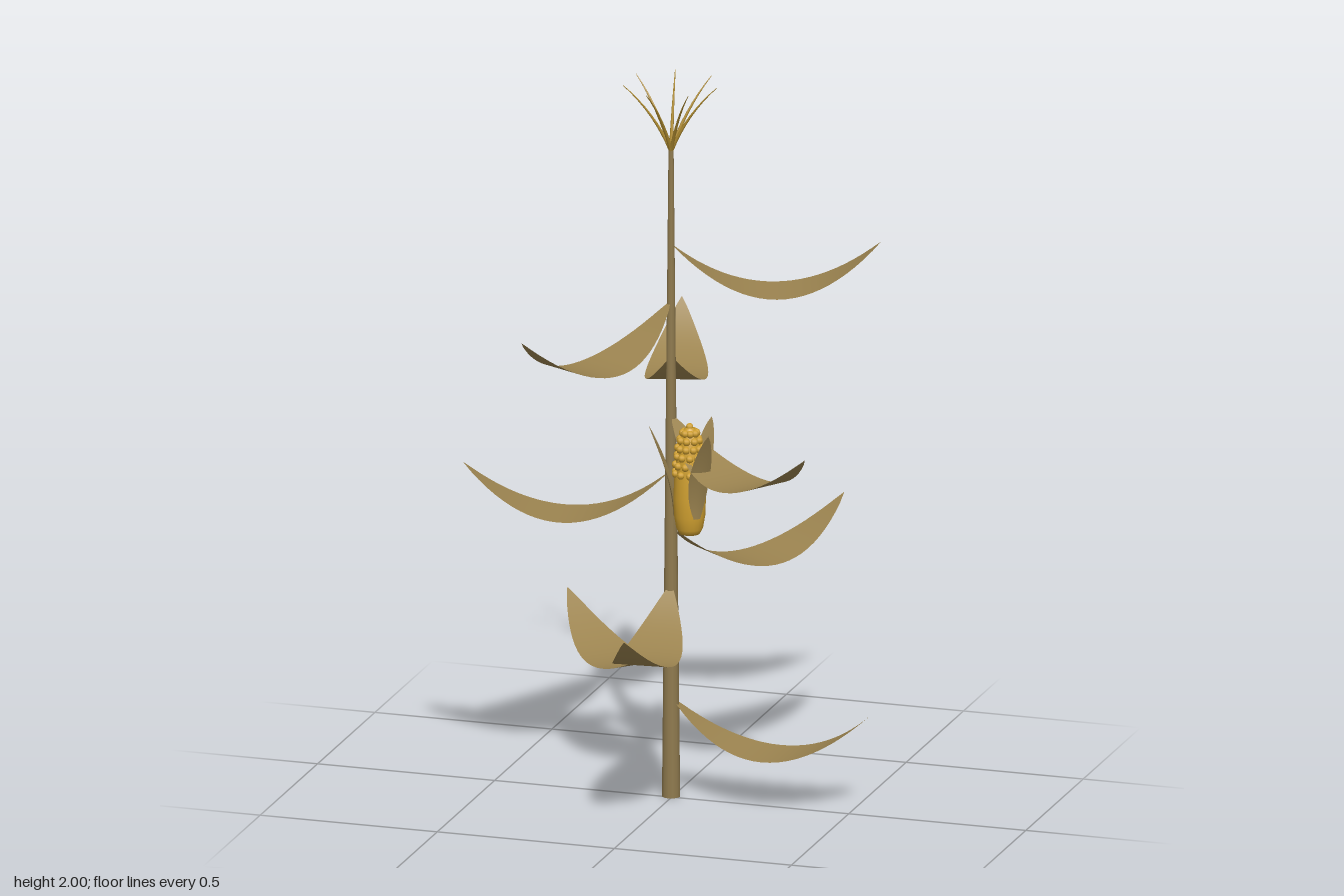
import * as THREE from 'three';

const material = (name, color) => {
  const m = new THREE.MeshStandardMaterial({ color, side: THREE.DoubleSide });
  m.name = name;
  return m;
};

// Thin blade: place(t, s) gives a point for t along the blade, s from -1 to 1 across it
function blade(place, along, across) {
  const geo = new THREE.PlaneGeometry(1, 1, along, across).rotateX(-Math.PI / 2);
  const p = geo.attributes.position;
  for (let i = 0; i < p.count; i++) p.setXYZ(i, ...place(p.getX(i) + 0.5, p.getZ(i) * 2));
  geo.computeVertexNormals();
  return geo;
}

export function createModel() {
  const stalkMat = material('dry stalk', 0x8f7a4e);
  const leafMat = material('dry leaf', 0x9c8450);
  const kernelMat = material('golden kernel', 0xd0a030);
  const tasselMat = material('tassel', 0xb08c30);

  const plant = new THREE.Group();
  plant.name = 'cornPlant';
  const add = (parent, name, geo, mat) => {
    const mesh = new THREE.Mesh(geo, mat);
    mesh.name = name;
    parent.add(mesh);
    return mesh;
  };

  // Tapered stalk
  const shoot = new THREE.Group();
  shoot.name = 'shoot';
  shoot.position.set(-0.005, 0, -0.01);
  plant.add(shoot);
  add(shoot, 'stalk', new THREE.CylinderGeometry(0.007, 0.025, 1.83, 12), stalkMat).position.y = 0.915;

  // Sagging leaves, spiralling up by the golden angle
  const leafGeo = blade((t, s) => [
    0.565 * t,
    -0.54 * t * (1 - t),
    s * 0.085 * Math.pow(Math.max(0, Math.sin(Math.PI * t)), 0.85),
  ], 24, 4);
  for (let i = 0; i < 9; i++) {
    const leaf = add(shoot, 'leaf', leafGeo, leafMat);
    leaf.position.y = 0.28 + i * 0.1588;
    leaf.rotation.y = i * THREE.MathUtils.degToRad(137.5);
  }

  // Tassel: seven fine, slightly arched rays
  const rayCurve = new THREE.QuadraticBezierCurve3(
    new THREE.Vector3(0, 1.81, 0), new THREE.Vector3(0.045, 1.92, 0), new THREE.Vector3(0.13, 2, 0));
  const rayGeo = new THREE.TubeGeometry(rayCurve, 8, 0.006, 6);
  const rp = rayGeo.attributes.position;
  for (let i = 0; i < rp.count; i++) {
    const t = Math.floor(i / 7) / 8;
    const c = rayCurve.getPointAt(t);
    const v = new THREE.Vector3().fromBufferAttribute(rp, i).lerp(c, t * 0.85);
    rp.setXYZ(i, v.x, Math.min(v.y, 2), v.z);
  }
  for (let i = 0; i < 7; i++) {
    add(shoot, 'tasselRay', rayGeo, tasselMat).rotation.y = (i * 2 * Math.PI) / 7;
  }

  // Ear of corn beside the stalk
  const ear = new THREE.Group();
  ear.name = 'ear';
  ear.position.set(0.075, 0, 0.075);
  plant.add(ear);
  const profile = [[0, 0.768], [0.028, 0.77], [0.036, 0.785], [0.042, 0.82], [0.044, 0.87], [0.041, 0.93],
    [0.036, 0.98], [0.028, 1.03], [0.016, 1.062], [0, 1.072]];
  add(ear, 'cob', new THREE.LatheGeometry(profile.map(([r, y]) => new THREE.Vector2(r, y)), 20), kernelMat);

  // Kernels in staggered rings
  const kernelGeo = new THREE.SphereGeometry(0.0105, 8, 6);
  [[0.04, 0.94], [0.038, 0.963], [0.035, 0.987], [0.032, 1.01], [0.027, 1.032], [0.019, 1.052]].forEach(([r, y], ring) => {
    const n = ring < 4 ? 10 : 8;
    for (let k = 0; k < n; k++) {
      const a = ((k + (ring % 2) / 2) * 2 * Math.PI) / n;
      add(ear, 'kernel', kernelGeo, kernelMat).position.set(r * Math.cos(a), y, r * Math.sin(a));
    }
  });
  add(ear, 'tipKernel', kernelGeo, kernelMat).position.y = 1.068;

  // Three husks peeling outward
  const huskGeo = blade((t, s) => {
    const w = s * 0.031 * Math.pow(Math.max(0, Math.sin(Math.PI * (0.06 + 0.94 * t))), 0.7);
    return [0.044 + 0.066 * Math.pow(t, 1.7) - 9 * w * w * (1 - t), 0.82 + 0.25 * t, w];
  }, 14, 6);
  for (const deg of [45, 165, 285]) {
    add(ear, 'husk', huskGeo, leafMat).rotation.y = -THREE.MathUtils.degToRad(deg);
  }
  return plant;
}
